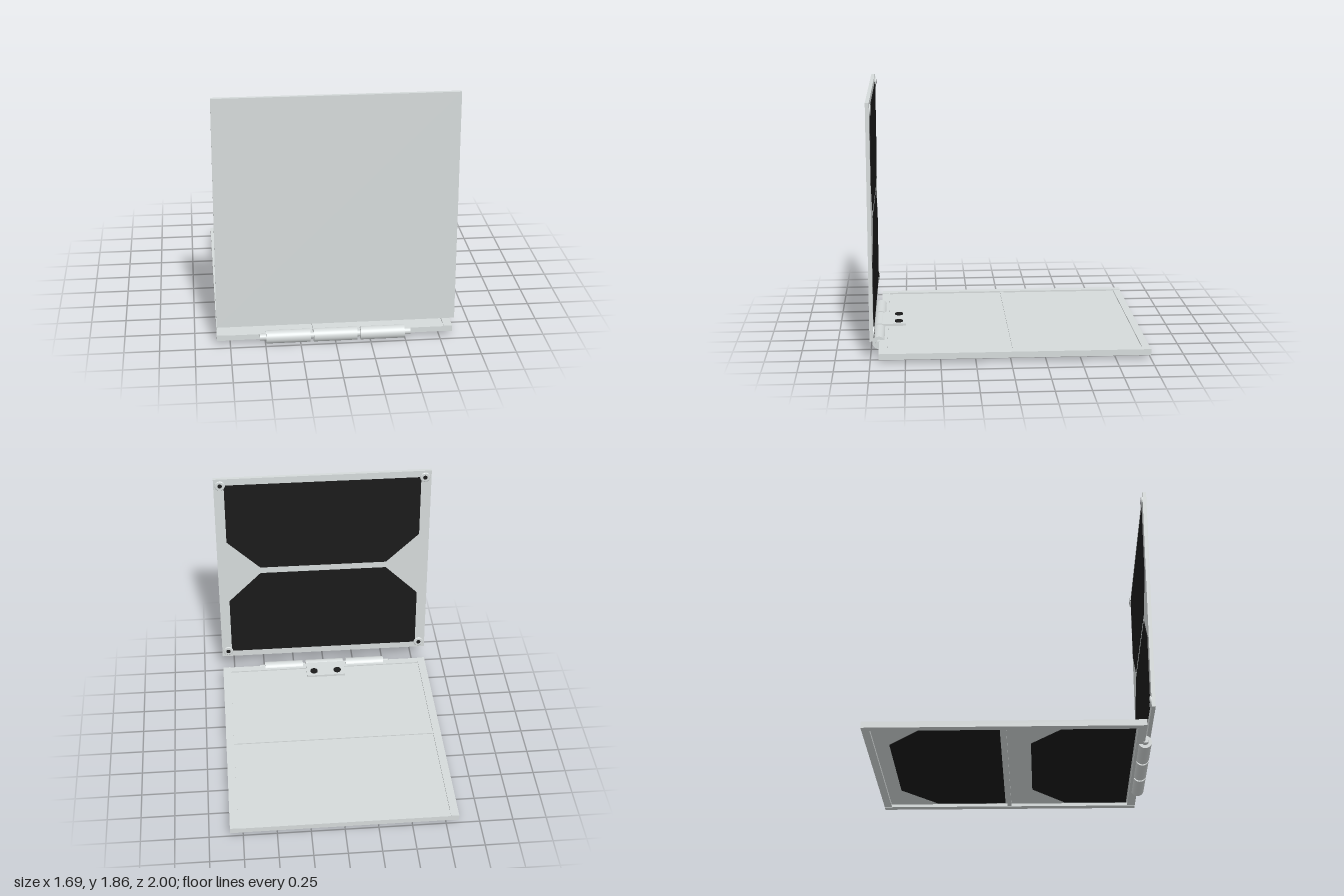
import * as THREE from 'three';

const metal = new THREE.MeshStandardMaterial({ color: 0xd5dada });
metal.name = 'lightGreyMetal';
const black = new THREE.MeshStandardMaterial({ color: 0x1a1a1a });
black.name = 'blackPad';

function add(parent, name, geometry, material, x = 0, y = 0, z = 0) {
  const mesh = new THREE.Mesh(geometry, material);
  mesh.name = name;
  mesh.position.set(x, y, z);
  parent.add(mesh);
  return mesh;
}

// Box given by its limits on each axis
function block(parent, name, [x0, x1], [y0, y1], [z0, z1]) {
  return add(parent, name, new THREE.BoxGeometry(x1 - x0, y1 - y0, z1 - z0), metal,
    (x0 + x1) / 2, (y0 + y1) / 2, (z0 + z1) / 2);
}

// Thin six-sided pad: wide at one end, clipped to a narrow edge at the other
function padGeometry(halfWide, halfNarrow, wide, shoulder, narrow, depth) {
  const shape = new THREE.Shape([
    [-halfWide, wide], [halfWide, wide], [halfWide, shoulder],
    [halfNarrow, narrow], [-halfNarrow, narrow], [-halfWide, shoulder],
  ].map(([x, y]) => new THREE.Vector2(x, y)));
  return new THREE.ExtrudeGeometry(shape, { depth, bevelEnabled: false });
}

function buildUprightPanel() {
  const g = new THREE.Group();
  g.name = 'uprightPanel';
  block(g, 'uprightSheet', [-0.845, 0.845], [0.165, 1.855], [0.973, 1]);

  // Pads on the rear face, narrow edges meeting at the middle
  add(g, 'upperPad', padGeometry(0.765, 0.505, 1.80, 1.285, 1.035, 0.006), black, 0, 0, 0.969);
  add(g, 'lowerPad', padGeometry(0.765, 0.505, 0.22, 0.72, 0.98, 0.006), black, 0, 0, 0.969);

  // Stepped corner buttons with dark centres
  const profile = [[0, 0], [0.04, 0], [0.04, 0.007], [0.035, 0.011], [0, 0.011]]
    .map(([r, h]) => new THREE.Vector2(r, h));
  const buttonGeo = new THREE.LatheGeometry(profile, 28).toNonIndexed();
  buttonGeo.computeVertexNormals();
  const centreGeo = new THREE.CylinderGeometry(0.017, 0.017, 0.003, 20);
  for (const x of [-0.795, 0.795]) {
    for (const y of [0.22, 1.8]) {
      add(g, 'cornerButton', buttonGeo, metal, x, y, 0.974).rotation.x = -Math.PI / 2;
      add(g, 'cornerButtonCentre', centreGeo, black, x, y, 0.9625).rotation.x = -Math.PI / 2;
    }
  }
  return g;
}

function buildBasePanel() {
  const g = new THREE.Group();
  g.name = 'basePanel';
  // Frame rails and middle bar around a recessed sheet
  for (const s of [-1, 1]) {
    block(g, 'sideRail', s < 0 ? [-0.845, -0.785] : [0.785, 0.845], [0.028, 0.072], [-1, 0.94]);
  }
  block(g, 'rearRail', [-0.785, 0.785], [0.03, 0.069], [-1, -0.945]);
  block(g, 'frontRail', [-0.785, 0.785], [0.03, 0.069], [0.88, 0.94]);
  block(g, 'middleBar', [-0.785, 0.785], [0.032, 0.068], [-0.045, -0.015]);
  block(g, 'baseSheet', [-0.785, 0.785], [0.05, 0.06], [-0.945, 0.88]);

  // Underside pads, narrow edges towards the rear
  for (const [wide, shoulder, narrow] of [[-0.06, -0.58, -0.84], [0.87, 0.4, 0.15]]) {
    add(g, 'undersidePad', padGeometry(0.77, 0.465, wide, shoulder, narrow, 0.005), black, -0.01, 0.051, 0)
      .rotation.x = Math.PI / 2;
  }
  return g;
}

function buildHinge() {
  const g = new THREE.Group();
  g.name = 'hinge';
  const alongX = (name, r, x0, x1) => {
    add(g, name, new THREE.CylinderGeometry(r, r, x1 - x0, 32), metal, (x0 + x1) / 2, 0.047, 0.944)
      .rotation.z = Math.PI / 2;
  };
  alongX('hingePin', 0.024, -0.54, 0.54);
  alongX('leftBarrel', 0.047, 0.18, 0.495);
  alongX('middleBarrel', 0.047, -0.155, 0.155);
  alongX('rightBarrel', 0.047, -0.495, -0.18);

  // Leaf plate from the middle barrel, with two screws
  block(g, 'hingeLeaf', [-0.16, 0.155], [0.072, 0.089], [0.748, 0.944]);
  for (const x of [-0.098, 0.095]) {
    add(g, 'leafScrew', new THREE.CylinderGeometry(0.03, 0.03, 0.01, 24), black, x, 0.094, 0.802);
  }
  return g;
}

export function createModel() {
  const model = new THREE.Group();
  model.name = 'hingedPanels';
  model.add(buildUprightPanel(), buildBasePanel(), buildHinge());
  return model;
}
